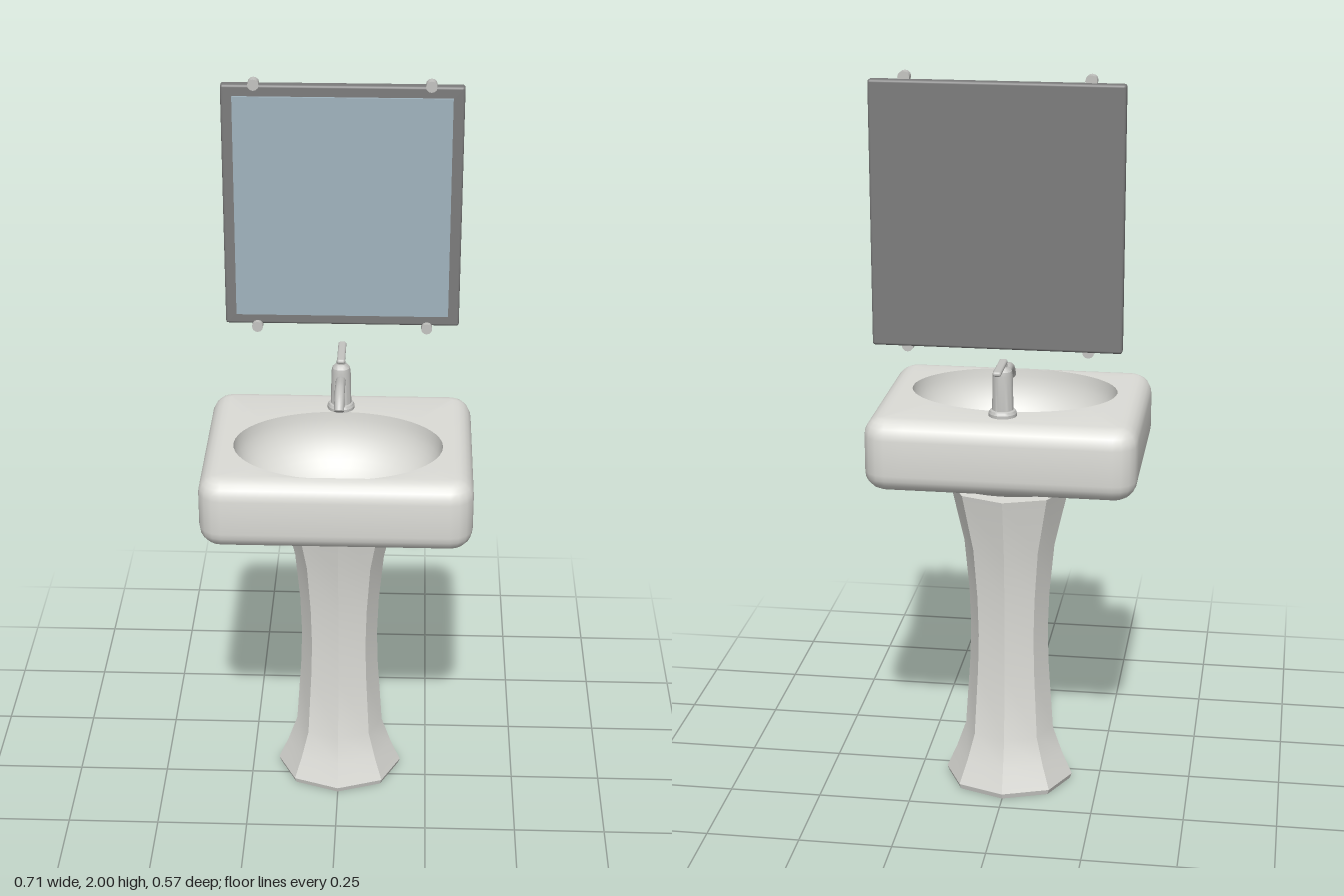
import * as THREE from 'three';
import { toCreasedNormals } from 'three/addons/utils/BufferGeometryUtils.js';
import { RoundedBoxGeometry } from 'three/addons/geometries/RoundedBoxGeometry.js';

const material = (name, color) => {
  const m = new THREE.MeshStandardMaterial({ color });
  m.name = name;
  return m;
};

const HX = 0.356, HZ = 0.285, CORNER = 0.06;

// Rounded rectangle in plan, inset evenly from the basin outline
function rectRing(inset, y) {
  const hx = HX - inset, hz = HZ - inset, r = CORNER - inset;
  const corners = [[1, 1], [-1, 1], [-1, -1], [1, -1]].map(([sx, sz], k) => {
    const pts = [];
    for (let i = 0; i <= 4; i++) {
      const a = (k + i / 4) * Math.PI / 2;
      pts.push(new THREE.Vector3(sx * (hx - r) + r * Math.cos(a), y, sz * (hz - r) + r * Math.sin(a)));
    }
    return pts;
  });
  const ring = [];
  corners.forEach((pts, k) => {
    ring.push(...pts);
    const next = corners[(k + 1) % 4][0];
    for (let i = 1; i < 12; i++) ring.push(pts[4].clone().lerp(next, i / 12));
  });
  return ring;
}

// Ellipse whose points line up with those of the rectangle
const angles = rectRing(0, 0).map(p => Math.atan2(p.z / HZ, p.x / HX));
const ovalRing = (rx, rz, cz, y) =>
  angles.map(a => new THREE.Vector3(rx * Math.cos(a), y, cz + rz * Math.sin(a)));

// Skin over a stack of closed rings
function loft(rings) {
  const n = rings[0].length, pos = [], index = [];
  rings.forEach(ring => ring.forEach(p => pos.push(p.x, p.y, p.z)));
  for (let i = 0; i < rings.length - 1; i++) {
    for (let j = 0; j < n; j++) {
      const a = i * n + j, b = i * n + (j + 1) % n;
      index.push(a, a + n, b, b, a + n, b + n);
    }
  }
  const g = new THREE.BufferGeometry();
  g.setAttribute('position', new THREE.Float32BufferAttribute(pos, 3));
  g.setIndex(index);
  return toCreasedNormals(g, 0.5);
}

function basinGeometry() {
  const rings = [];
  // shallow bulge underneath
  rings.push(ovalRing(0.002, 0.0015, -0.01, 0.848), ovalRing(0.15, 0.11, -0.005, 0.851),
    ovalRing(0.19, 0.14, 0, 0.861), ovalRing(0.285, 0.215, 0.005, 0.905));
  // filleted sides
  const r = 0.05;
  for (let i = 0; i <= 5; i++) {
    const a = i / 5 * Math.PI / 2;
    rings.push(rectRing(r * (1 - Math.sin(a)), 0.905 + r * (1 - Math.cos(a))));
  }
  for (let i = 0; i <= 5; i++) {
    const a = i / 5 * Math.PI / 2;
    rings.push(rectRing(r * (1 - Math.cos(a)), 1.05 + r * Math.sin(a)));
  }
  // sunken oval bowl
  for (let i = 0; i <= 14; i++) {
    const a = i / 14 * Math.PI / 2, f = Math.max(Math.cos(a), 0.01);
    rings.push(ovalRing(0.277 * f, 0.195 * f, 0.05, 1.1 - 0.2 * Math.sin(a)));
  }
  return loft(rings);
}

const lathe = (points, segments) =>
  toCreasedNormals(new THREE.LatheGeometry(points.map(p => new THREE.Vector2(...p)), segments), 0.5);

export function createModel() {
  const ceramic = material('ceramic', 0xdcdcd7);
  const chrome = material('chrome', 0xc4c4c1);
  const frameGrey = material('frame grey', 0x7c7c7c);
  const glassBlue = material('mirror glass', 0xa0b3be);

  const model = new THREE.Group();
  model.name = 'pedestalSinkWithMirror';
  const add = (parent, name, geometry, mat, x = 0, y = 0, z = 0) => {
    const mesh = new THREE.Mesh(geometry, mat);
    mesh.name = name;
    mesh.position.set(x, y, z);
    parent.add(mesh);
    return mesh;
  };

  // Eight-sided flared pedestal
  const column = lathe([[0, 0], [0.17, 0], [0.176, 0.015], [0.148, 0.08], [0.122, 0.155],
    [0.109, 0.35], [0.106, 0.45], [0.11, 0.56], [0.123, 0.7], [0.16, 0.862], [0, 0.862]], 8);
  add(model, 'pedestal', column, ceramic, 0, 0, -0.055).scale.z = 0.855;

  add(model, 'basin', basinGeometry(), ceramic);
  add(model, 'drain', new THREE.CylinderGeometry(0.027, 0.027, 0.006, 24), ceramic, 0, 0.902, 0.05);

  // Faucet
  const faucet = new THREE.Group();
  faucet.name = 'faucet';
  faucet.position.set(0, 1.1, -0.175);
  model.add(faucet);
  add(faucet, 'faucetBody', lathe([[0, 0], [0.037, 0], [0.037, 0.008], [0.033, 0.015], [0.028, 0.017],
    [0.026, 0.11], [0.024, 0.121], [0.017, 0.129], [0.012, 0.132], [0.012, 0.14], [0, 0.14]], 24), chrome);
  const path = new THREE.CatmullRomCurve3([[0.088, 0.01], [0.096, 0.05], [0.1, 0.095], [0.092, 0.125],
    [0.078, 0.145], [0.066, 0.155]].map(([y, z]) => new THREE.Vector3(0, y, z)));
  add(faucet, 'spout', new THREE.TubeGeometry(path, 20, 0.0135, 12), chrome);
  const tip = add(faucet, 'spoutTip', new THREE.CylinderGeometry(0.0135, 0.0135, 0.004, 12), chrome, 0, 0.066, 0.155);
  tip.quaternion.setFromUnitVectors(new THREE.Vector3(0, 1, 0), path.getTangent(1));
  add(faucet, 'lever', new RoundedBoxGeometry(0.022, 0.013, 0.125, 3, 0.006), chrome, 0, 0.142, -0.046);

  // Wall mirror
  const mirror = new THREE.Group();
  mirror.name = 'mirror';
  mirror.position.set(0, 1.645, -0.272);
  model.add(mirror);
  add(mirror, 'mirrorFrame', new RoundedBoxGeometry(0.634, 0.672, 0.03, 2, 0.007), frameGrey);
  add(mirror, 'mirrorGlass', new THREE.BoxGeometry(0.574, 0.612, 0.009), glassBlue, 0, 0, 0.0175);

  // Retaining clips above and below the frame
  const clip = new THREE.CylinderGeometry(0.015, 0.015, 0.026, 12).rotateX(Math.PI / 2);
  for (const x of [-0.23, 0.23]) {
    for (const y of [-0.34, 0.34]) add(mirror, 'mirrorClip', clip, chrome, x, y, 0.016);
  }
  return model;
}
